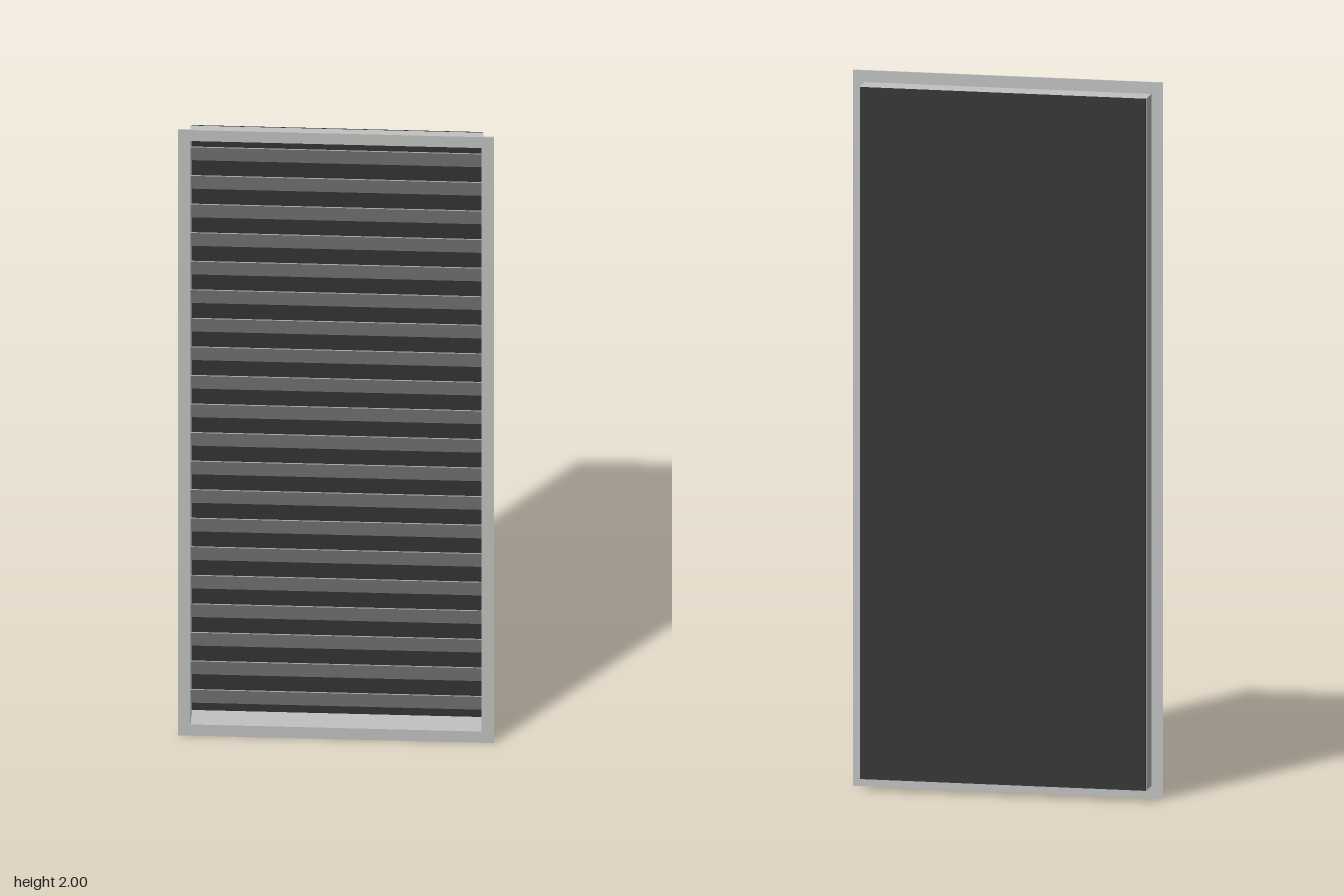
import * as THREE from 'three';

const paint = (name, color) => Object.assign(new THREE.MeshStandardMaterial({ color }), { name });

export function createModel() {
  const group = new THREE.Group();
  group.name = 'louvreGrille';
  const metal = paint('silver metal', 0xc0c3c1);
  const dark = paint('dark backing', 0x333333);

  const W = 0.433, H = 2;               // flange half width, height
  const w = 0.401, y0 = 0.034, y1 = 1.967; // duct outline
  const front = 0.036, back = -0.035;
  const t = 0.003;                      // sheet thickness

  const add = (name, geometry, material, x = 0, y = 0, z = 0) => {
    const mesh = new THREE.Mesh(geometry, material);
    mesh.name = name;
    mesh.position.set(x, y, z);
    group.add(mesh);
    return mesh;
  };

  const rect = (path, x, b, c) =>
    path.moveTo(-x, b).lineTo(x, b).lineTo(x, c).lineTo(-x, c).closePath();

  // Rectangular ring extruded towards the front
  const ring = (hx, b, c, ix, ib, ic, depth) => {
    const shape = new THREE.Shape();
    rect(shape, hx, b, c);
    const hole = new THREE.Path();
    rect(hole, ix, ib, ic);
    shape.holes.push(hole);
    return new THREE.ExtrudeGeometry(shape, { depth, bevelEnabled: false });
  };

  // Flange and the duct behind it
  add('flange', ring(W, 0, H, w - t, y0 + t, y1 - t, 0.005), metal, 0, 0, front - 0.005);
  add('duct', ring(w, y0, y1, w - t, y0 + t, y1 - t, front - 0.005 - back), metal, 0, 0, back);

  // Backing sheet
  add('backing', new THREE.BoxGeometry(0.798, y1 - y0, 0.003), dark, 0, (y0 + y1) / 2, back - 0.0015);

  // Slats: front edge high, rear edge low
  const count = 20, pitch = 0.0943, top = 1.944, rise = 0.0905;
  const zf = 0.033, zb = back + 0.001;
  const profile = new THREE.Shape([
    new THREE.Vector2(zb, 0),
    new THREE.Vector2(zf, rise - t),
    new THREE.Vector2(zf, rise),
    new THREE.Vector2(zb, t),
  ]);
  const length = 2 * (w - t);
  const slat = new THREE.ExtrudeGeometry(profile, { depth: length, bevelEnabled: false });
  slat.rotateY(-Math.PI / 2); // profile x becomes z, extrusion becomes -x
  slat.translate(length / 2, 0, 0);
  for (let i = 0; i < count; i++) add('slat', slat, metal, 0, top - rise - i * pitch, 0);

  return group;
}
